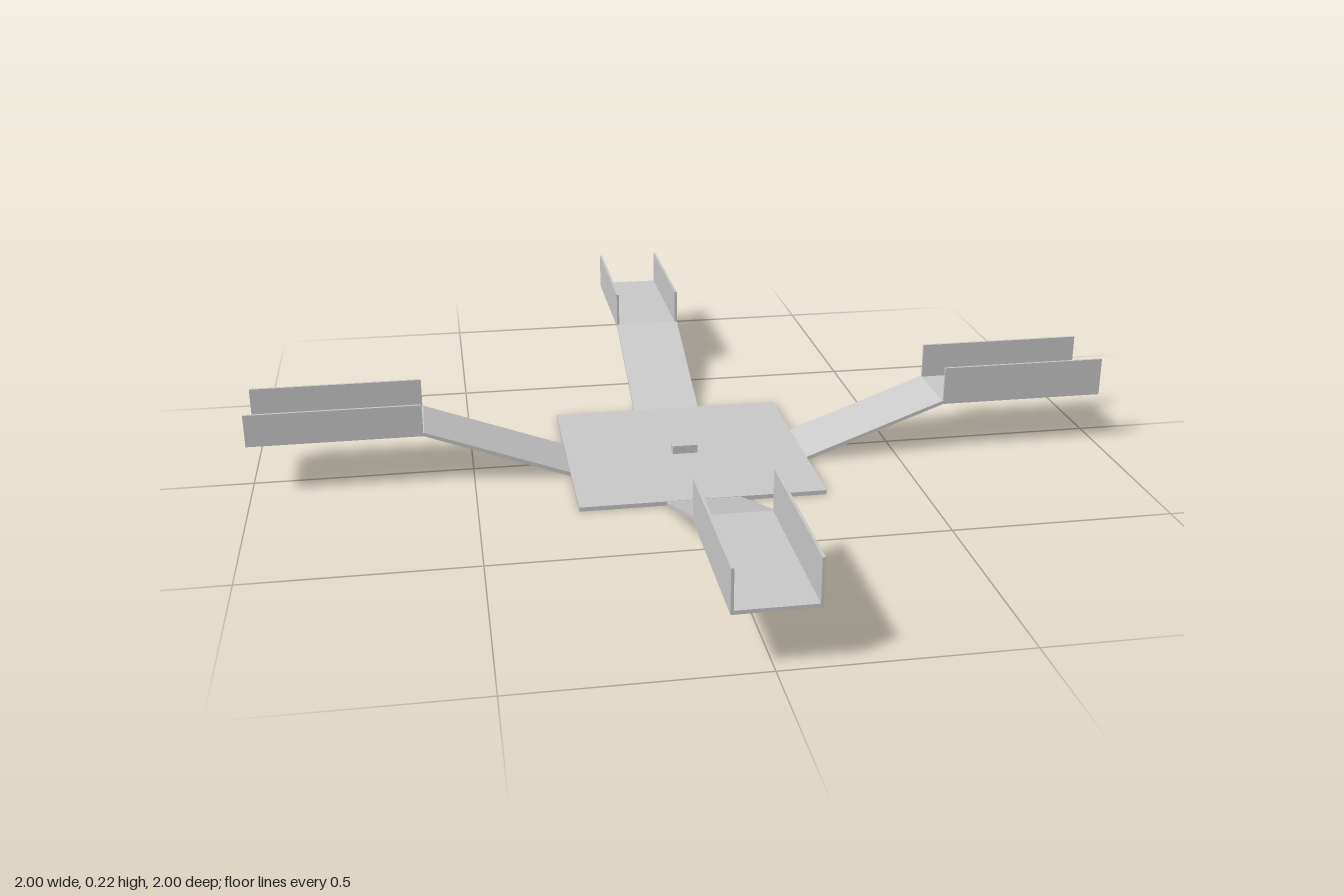
import * as THREE from 'three';

const material = new THREE.MeshStandardMaterial({ color: 0xcccccc, flatShading: true });

function box(name, x0, x1, y0, y1, z0, z1) {
  const mesh = new THREE.Mesh(new THREE.BoxGeometry(x1 - x0, y1 - y0, z1 - z0), material);
  mesh.position.set((x0 + x1) / 2, (y0 + y1) / 2, (z0 + z1) / 2);
  mesh.name = name;
  return mesh;
}

// One arm along +x: bent sheet strip with two upright walls on its raised end
function createArm({ name, angle, z0, z1, low, high }) {
  const arm = new THREE.Group();
  arm.name = name;

  const profile = new THREE.Shape();
  profile.moveTo(0.27, 0);
  profile.lineTo(0.28, 0);
  profile.lineTo(0.61, 0.123);
  profile.lineTo(1, 0.123);
  profile.lineTo(1, 0.131);
  profile.lineTo(0.608, 0.131);
  profile.lineTo(0.278, 0.009);
  profile.lineTo(0.27, 0.009);
  const strip = new THREE.Mesh(
    new THREE.ExtrudeGeometry(profile, { depth: z1 - z0, bevelEnabled: false }), material);
  strip.position.z = z0;
  strip.name = 'ramp and tray floor';
  arm.add(strip);

  const t = 0.006;
  arm.add(box('tray wall', 0.61, 1, 0.123, low, z0, z0 + t));
  arm.add(box('tray wall', 0.61, 1, 0.123, high, z1 - t, z1));
  arm.rotation.y = angle;
  return arm;
}

export function createModel() {
  const model = new THREE.Group();
  model.name = 'cross frame';

  // Square base plate and the small block at its centre
  model.add(box('base plate', -0.28, 0.28, 0, 0.01, -0.28, 0.275));
  model.add(box('centre block', -0.03, 0.03, 0.01, 0.03, -0.015, 0.015));

  // Four arms with slightly different widths and wall heights
  const arms = [
    { name: 'leftArm', angle: 0, z0: -0.09, z1: 0.083, low: 0.213, high: 0.213 },
    { name: 'rightArm', angle: Math.PI, z0: -0.08, z1: 0.09, low: 0.198, high: 0.198 },
    { name: 'frontArm', angle: -Math.PI / 2, z0: -0.085, z1: 0.085, low: 0.223, high: 0.215 },
    { name: 'backArm', angle: Math.PI / 2, z0: -0.082, z1: 0.082, low: 0.215, high: 0.215 },
  ];
  for (const arm of arms) model.add(createArm(arm));
  return model;
}
